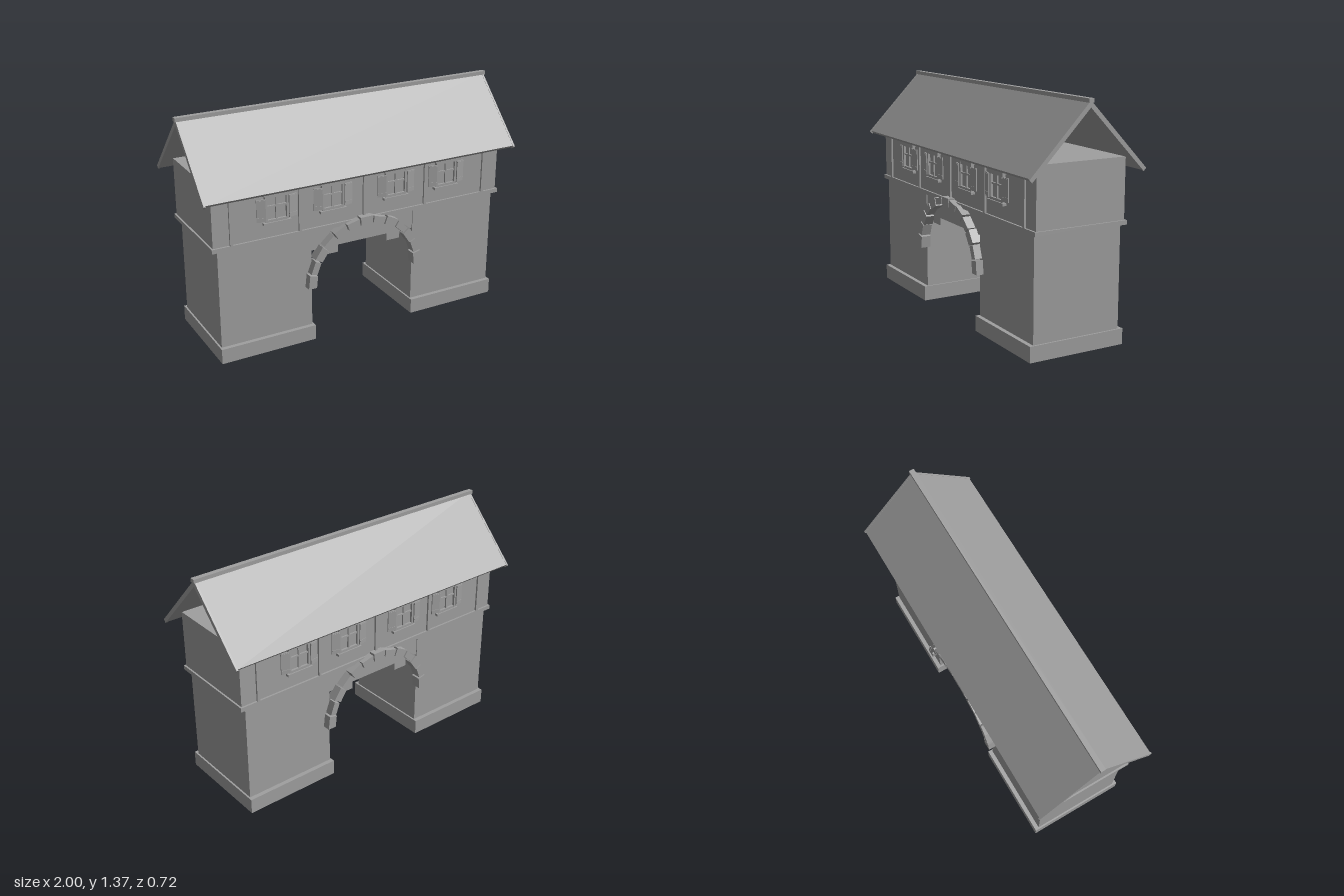
import * as THREE from 'three';

const stone = new THREE.MeshStandardMaterial({ color: 0xa0a0a0 });
stone.name = 'plain grey';

// Box given by its centre and size
function box(parent, name, x, y, z, w, h, d) {
  const mesh = new THREE.Mesh(new THREE.BoxGeometry(w, h, d), stone);
  mesh.name = name;
  mesh.position.set(x, y, z);
  parent.add(mesh);
  return mesh;
}

// Upside-down V cross-section in the z-y plane, extruded along x
function chevron(parent, name, outer, inner, x, length) {
  const [eaveZ, eaveY, ridgeY] = outer;
  const [lowZ, lowY, underY] = inner;
  const shape = new THREE.Shape([
    [-eaveZ, eaveY], [-lowZ, lowY], [0, underY], [lowZ, lowY], [eaveZ, eaveY], [0, ridgeY],
  ].map(p => new THREE.Vector2(...p)));
  const geo = new THREE.ExtrudeGeometry(shape, { depth: length, bevelEnabled: false });
  geo.translate(0, 0, -length / 2);
  geo.rotateY(Math.PI / 2);
  const mesh = new THREE.Mesh(geo, stone);
  mesh.name = name;
  mesh.position.x = x;
  parent.add(mesh);
}

// One tapered arch stone centred on an angle
function archStone(parent, angle, inner, outer) {
  const half = THREE.MathUtils.degToRad(6.3);
  const at = (r, a) => new THREE.Vector2(Math.cos(a) * r, Math.sin(a) * r);
  const shape = new THREE.Shape([
    at(inner, angle - half), at(outer, angle - half), at(outer, angle + half), at(inner, angle + half),
  ]);
  const geo = new THREE.ExtrudeGeometry(shape, { depth: 0.06, bevelEnabled: false });
  const mesh = new THREE.Mesh(geo, stone);
  mesh.name = 'archStone';
  mesh.position.set(0, 0.34, 0.255);
  parent.add(mesh);
}

// Cross-barred window with sill, head and two open shutters
function makeWindow(x) {
  const win = new THREE.Group();
  win.name = 'window';
  win.position.set(x, 0.87, 0.275);
  box(win, 'windowPane', 0, 0, 0.001, 0.13, 0.15, 0.004);
  for (const s of [-1, 1]) {
    box(win, 'windowJamb', s * 0.064, 0, 0.008, 0.014, 0.15, 0.018);
    box(win, 'windowRail', 0, s * 0.07, 0.008, 0.13, 0.014, 0.016);
    const shutter = new THREE.Group();
    shutter.name = 'shutter';
    shutter.position.set(s * 0.07, 0, 0.02);
    shutter.rotation.y = s * 0.2;
    box(shutter, 'shutterBoard', s * 0.026, -0.002, 0, 0.052, 0.13, 0.007);
    for (const y of [-0.045, 0.055]) box(shutter, 'shutterBatten', s * 0.026, y, 0.004, 0.052, 0.007, 0.004);
    win.add(shutter);
  }
  box(win, 'windowMullion', 0, 0, 0.006, 0.012, 0.15, 0.012);
  box(win, 'windowTransom', 0, 0.012, 0.006, 0.13, 0.01, 0.012);
  box(win, 'windowHead', 0, 0.084, 0.011, 0.165, 0.014, 0.024);
  box(win, 'windowSill', 0, -0.084, 0.011, 0.165, 0.014, 0.024);
  return win;
}

// Everything fixed to one long side of the building
function makeFacade() {
  const side = new THREE.Group();
  side.name = 'facade';
  for (const x of [-0.82, -0.408, 0, 0.408, 0.82]) box(side, 'wallPost', x, 0.867, 0.279, 0.017, 0.335, 0.014);
  for (const x of [-0.55, -0.205, 0.205, 0.55]) side.add(makeWindow(x));
  for (let i = 0; i < 13; i++) {
    const angle = THREE.MathUtils.degToRad(6.3 + i * (167.4 / 12));
    const shift = i === 6 ? 0 : (i % 2) * 0.006;
    archStone(side, angle, 0.325 + shift, 0.376 - shift);
  }
  for (const s of [-1, 1]) box(side, 'lintelBracket', s * 0.205, 0.54, 0.235, 0.088, 0.06, 0.06);
  return side;
}

export function createModel() {
  const model = new THREE.Group();
  model.name = 'gatehouse';

  // Two piers on plinths
  for (const s of [-1, 1]) {
    box(model, 'plinth', s * 0.6175, 0.045, 0, 0.585, 0.09, 0.59);
    box(model, 'pier', s * 0.6175, 0.3825, 0, 0.565, 0.585, 0.54);
  }

  // Passage lintel, ledge and upper storey
  box(model, 'passageLintel', 0, 0.615, 0, 0.67, 0.12, 0.53);
  box(model, 'ledge', 0, 0.6875, 0, 1.87, 0.025, 0.572);
  box(model, 'upperStorey', 0, 0.87, 0, 1.85, 0.34, 0.55);

  // Both long sides
  const front = makeFacade();
  const back = makeFacade();
  back.rotation.y = Math.PI;
  model.add(front, back);

  // Open gable roof with barge boards and ridge cap
  chevron(model, 'roof', [0.352, 0.987, 1.352], [0.338, 0.972, 1.322], 0, 1.97);
  for (const s of [-1, 1]) {
    chevron(model, 'bargeBoard', [0.358, 0.983, 1.354], [0.342, 0.967, 1.318], s * 0.987, 0.012);
  }
  box(model, 'ridgeCap', 0, 1.354, 0, 2, 0.022, 0.03);

  return model;
}
